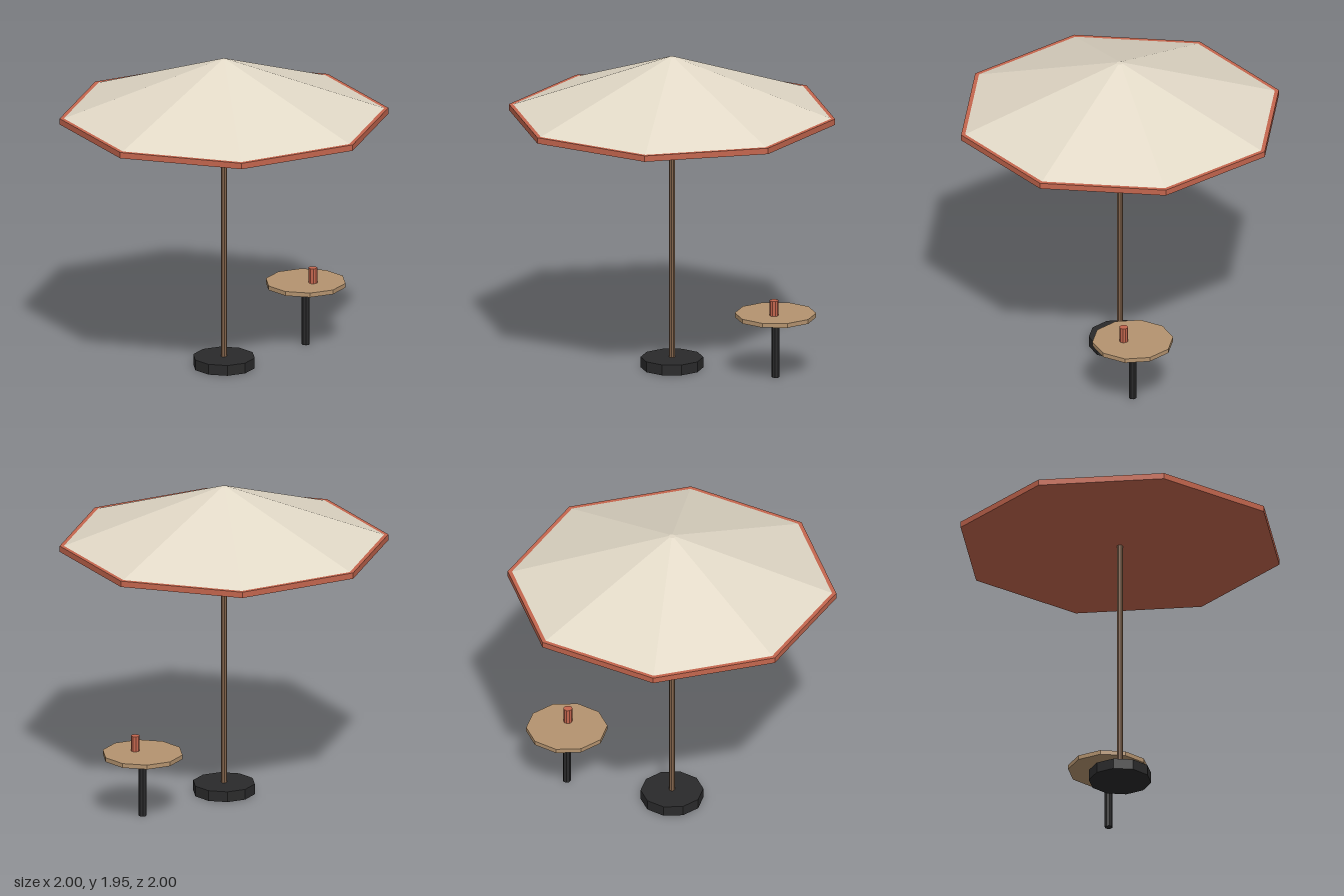
import * as THREE from 'three';

const paint = (name, color) => {
  const m = new THREE.MeshStandardMaterial({ color, flatShading: true });
  m.name = name;
  return m;
};

export function createModel() {
  const group = new THREE.Group();
  group.name = 'parasolAndTable';

  const canvas = paint('cream canvas', 0xe3dac8);
  const terracotta = paint('terracotta', 0xc4664e);
  const poleWood = paint('dark wood', 0x80624a);
  const tableWood = paint('light wood', 0xb4936f);
  const iron = paint('black iron', 0x2a2a2b);

  // Faceted upright cylinder between two heights
  const post = (name, material, rTop, rBottom, y0, y1, sides, x = 0, z = 0) => {
    const geometry = new THREE.CylinderGeometry(rTop, rBottom, y1 - y0, sides);
    const mesh = new THREE.Mesh(geometry, material);
    mesh.name = name;
    mesh.position.set(x, (y0 + y1) / 2, z);
    group.add(mesh);
  };

  // Parasol
  post('parasolBase', iron, 0.19, 0.19, 0, 0.065, 10);
  post('parasolPole', poleWood, 0.018, 0.018, 0.03, 1.6, 8);
  post('canopyRim', terracotta, 1, 1, 1.57, 1.607, 8);
  post('canopy', canvas, 0.02, 0.985, 1.603, 1.95, 8);

  // Side table with a cup
  const tx = 0.538, tz = -0.385;
  post('tableLeg', iron, 0.024, 0.024, 0, 0.38, 8, tx, tz);
  post('tableTop', tableWood, 0.246, 0.246, 0.375, 0.402, 10, tx, tz);
  post('cup', terracotta, 0.027, 0.027, 0.4, 0.497, 10, 0.578, -0.345);

  return group;
}
